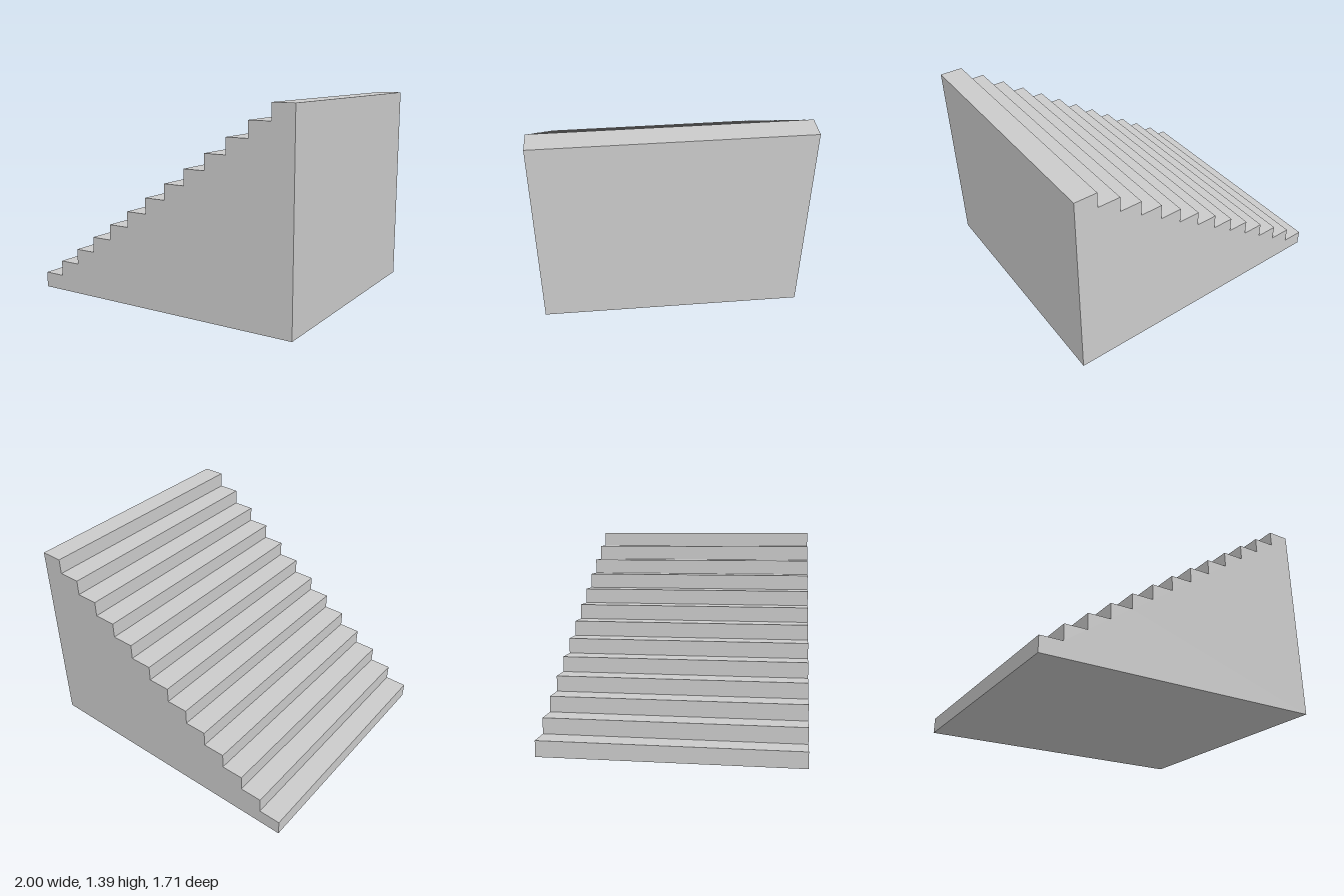
import * as THREE from 'three';

const STEPS = 13;
const LENGTH = 2;
const HEIGHT = 1.39;
const WIDTH = 1.71;

export function createModel() {
  const group = new THREE.Group();
  group.name = 'staircase';

  // Stepped side profile, rising towards +x
  const run = LENGTH / STEPS;
  const rise = HEIGHT / STEPS;
  const profile = new THREE.Shape();
  profile.moveTo(LENGTH / 2, 0);
  profile.lineTo(LENGTH / 2, HEIGHT);
  for (let i = STEPS - 1; i >= 0; i--) {
    const x = -LENGTH / 2 + i * run;
    profile.lineTo(x, (i + 1) * rise);
    profile.lineTo(x, i * rise);
  }
  profile.closePath();

  // Solid flight of steps across the full width
  const geometry = new THREE.ExtrudeGeometry(profile, { depth: WIDTH, bevelEnabled: false });
  geometry.translate(0, 0, -WIDTH / 2);
  const material = new THREE.MeshStandardMaterial({ color: 0xcccccc, flatShading: true });
  const steps = new THREE.Mesh(geometry, material);
  steps.name = 'solidSteps';
  group.add(steps);

  return group;
}
